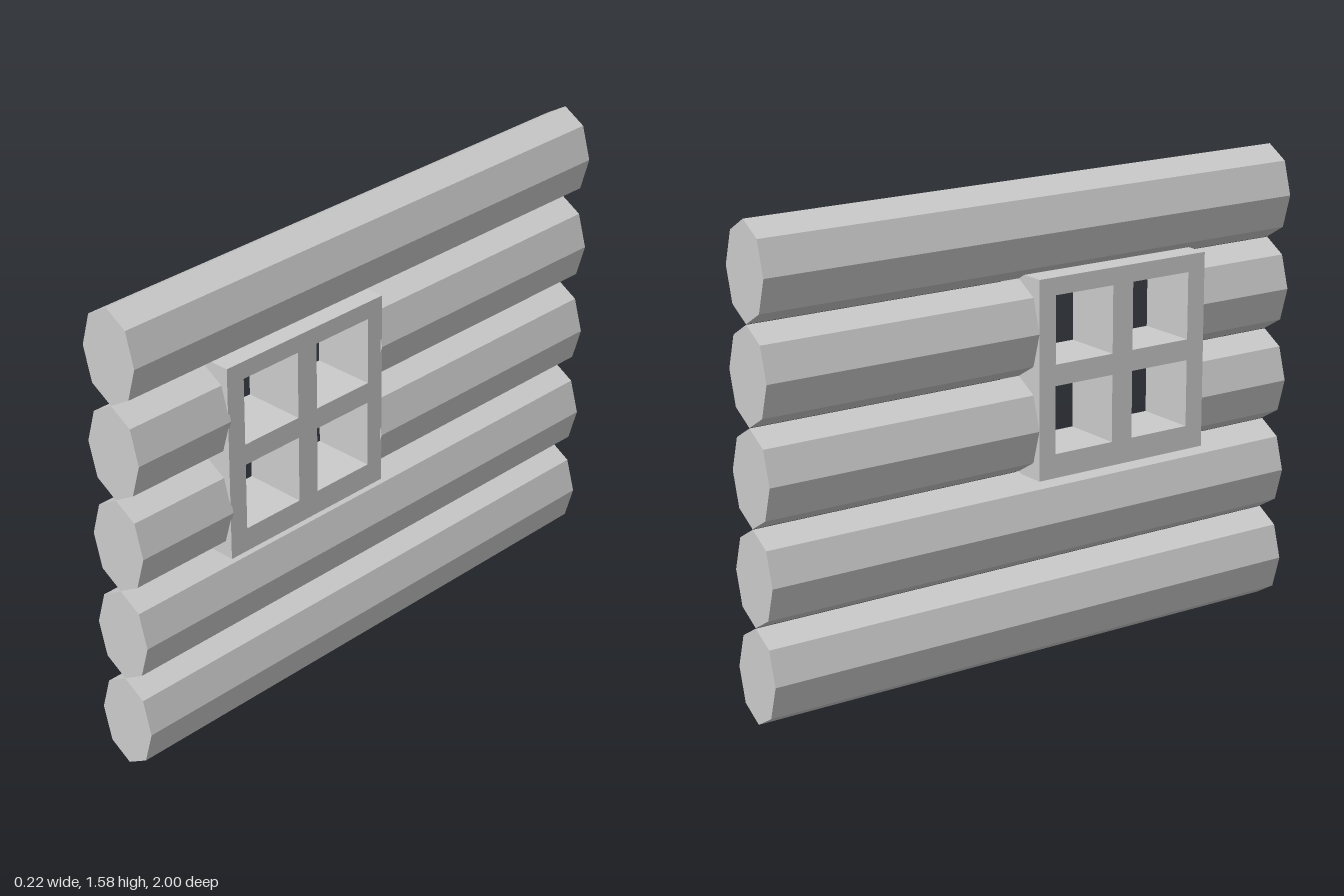
import * as THREE from 'three';

const material = new THREE.MeshStandardMaterial({ color: 0xcccccc, flatShading: true });
const LOG_RX = 0.11, LOG_RY = 0.158, PITCH = 0.3172;
const WIN = { z0: -0.02, z1: 0.64, y0: 0.627, y1: 1.285, x0: -0.11, x1: 0.103 };

// Eight-sided log lying along z, from z0 to z1
function makeLog(name, y, z0, z1) {
  const geo = new THREE.CylinderGeometry(1, 1, z1 - z0, 8);
  geo.rotateX(Math.PI / 2);
  geo.scale(LOG_RX, LOG_RY, 1);
  const log = new THREE.Mesh(geo, material);
  log.name = name;
  log.position.set(0, y, (z0 + z1) / 2);
  return log;
}

function rect(target, a0, b0, a1, b1) {
  target.moveTo(a0, b0);
  target.lineTo(a1, b0);
  target.lineTo(a1, b1);
  target.lineTo(a0, b1);
  target.closePath();
  return target;
}

// Window frame with four panes, drawn in (-z, y) and extruded along x
function makeWindow() {
  const shape = rect(new THREE.Shape(), -WIN.z1, WIN.y0, -WIN.z0, WIN.y1);
  for (const z of [0.573, 0.268]) {
    for (const y of [0.707, 1.002]) {
      shape.holes.push(rect(new THREE.Path(), -z, y, -z + 0.225, y + 0.225));
    }
  }
  const geo = new THREE.ExtrudeGeometry(shape, { depth: WIN.x1 - WIN.x0, bevelEnabled: false });
  geo.rotateY(Math.PI / 2);
  geo.translate(WIN.x0, 0, 0);
  const frame = new THREE.Mesh(geo, material);
  frame.name = 'windowFrame';
  return frame;
}

export function createModel() {
  const wall = new THREE.Group();
  wall.name = 'logWall';
  for (let i = 0; i < 5; i++) {
    const y = LOG_RY + i * PITCH;
    if (i === 2 || i === 3) {
      // Logs interrupted by the window
      wall.add(makeLog('backLogPiece', y, -1, WIN.z0 + 0.006));
      wall.add(makeLog('frontLogPiece', y, WIN.z1 - 0.006, 1));
    } else {
      wall.add(makeLog('log', y, -1, 1));
    }
  }
  wall.add(makeWindow());
  return wall;
}
